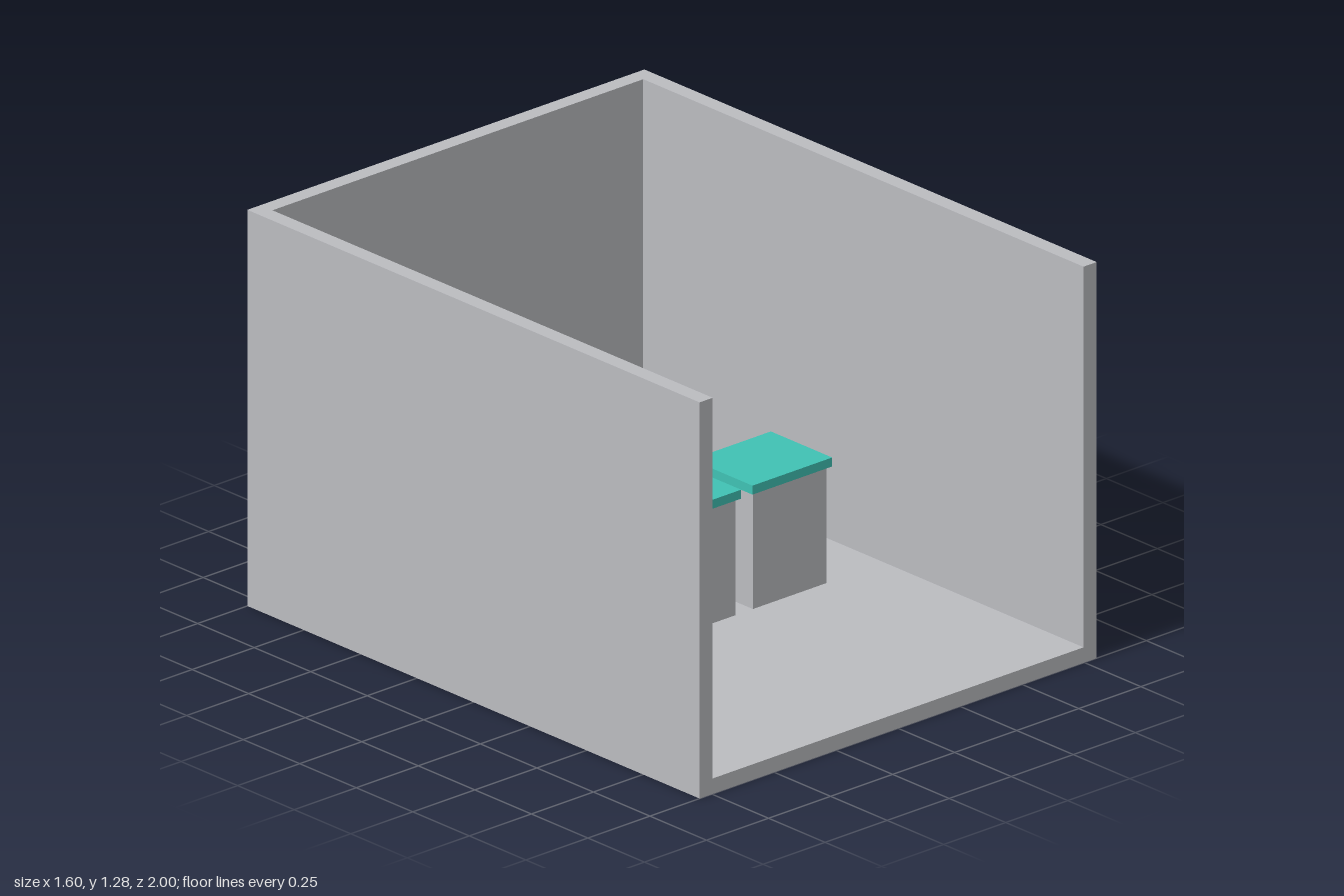
import * as THREE from 'three';

export function createModel() {
  const model = new THREE.Group();
  model.name = 'displayRoom';

  const grey = new THREE.MeshStandardMaterial({ color: 0xbbbcc0 });
  grey.name = 'light grey';
  const teal = new THREE.MeshStandardMaterial({ color: 0x40c2b4 });
  teal.name = 'teal';

  const W = 1.6, H = 1.28, D = 2, T = 0.053, floorT = 0.05;

  // Box spanning y0..y1, centred on x and z
  function box(name, w, y0, y1, d, x, z, material, parent = model) {
    const mesh = new THREE.Mesh(new THREE.BoxGeometry(w, y1 - y0, d), material);
    mesh.name = name;
    mesh.position.set(x, (y0 + y1) / 2, z);
    parent.add(mesh);
  }

  // Floor and side walls as one U-shaped section, open at the front and top
  const section = new THREE.Shape([
    [-W / 2, 0], [W / 2, 0], [W / 2, H], [W / 2 - T, H],
    [W / 2 - T, floorT], [-W / 2 + T, floorT], [-W / 2 + T, H], [-W / 2, H],
  ].map(([x, y]) => new THREE.Vector2(x, y)));
  const shell = new THREE.Mesh(
    new THREE.ExtrudeGeometry(section, { depth: D - T, bevelEnabled: false }), grey);
  shell.name = 'floorAndSideWalls';
  shell.position.z = -D / 2 + T;
  model.add(shell);

  // Back wall
  box('backWall', W, 0, H, T, 0, -D / 2 + T / 2, grey);

  // Row of three counters with overhanging tops
  for (const x of [-0.369, -0.002, 0.365]) {
    const counter = new THREE.Group();
    counter.name = 'counter';
    counter.position.set(x, 0, -0.004);
    box('counterBase', 0.296, floorT, 0.427, 0.247, 0, 0, grey, counter);
    box('counterTop', 0.321, 0.427, 0.456, 0.271, 0, 0, teal, counter);
    model.add(counter);
  }

  return model;
}
